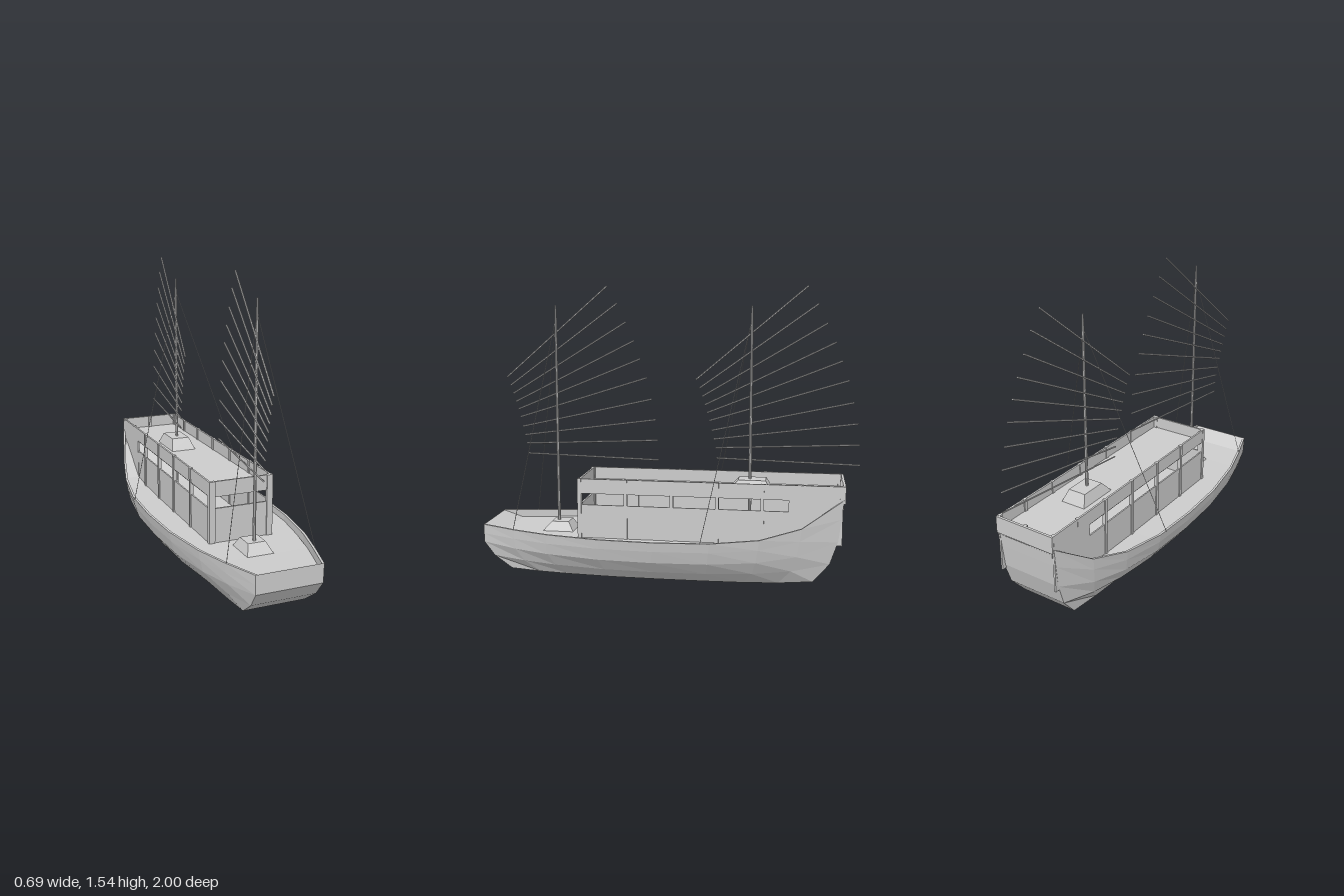
import * as THREE from 'three';

const mat = new THREE.MeshStandardMaterial({ color: 0xcccccc, flatShading: true });
const thin = new THREE.MeshStandardMaterial({ color: 0xcccccc, flatShading: true, side: THREE.DoubleSide });
const lerp = THREE.MathUtils.lerp;

// Stations from bow to stern: position, fullness, bow rise, stern rise
const STATIONS = [
  [0, 0, 1, 0], [0.1, 0.36, 0.5, 0], [0.2, 0.67, 0.25, 0], [0.35, 0.93, 0.05, 0], [0.5, 1, 0, 0],
  [0.65, 0.95, 0, 0.02], [0.78, 0.72, 0, 0.1], [0.89, 0.4, 0, 0.35], [1, 0, 0, 1],
];
// Strakes from gunwale down: [z, y] at bow, [width, y] amidships, [z, y] at stern, end width
const STRAKES = [
  [[1, 0.262], [0.345, 0.245], [-0.92, 0.46], 0.175],
  [[1, 0.212], [0.335, 0.195], [-0.91, 0.36], 0.174],
  [[1, 0.165], [0.315, 0.13], [-0.895, 0.24], 0.172],
  [[0.945, 0.09], [0.265, 0.066], [-0.855, 0.12], 0.168],
  [[0.85, 0.02], [0.175, 0], [-0.77, 0.02], 0.162],
];

function strakePoint([bow, mid, stern, end], [t, full, b, s]) {
  return new THREE.Vector3(lerp(end, mid[0], full),
    mid[1] + (bow[1] - mid[1]) * b + (stern[1] - mid[1]) * s, lerp(bow[0], stern[0], t));
}

// Half width of the gunwale at a given z
function gunwaleWidth(z) {
  const pts = STATIONS.map((s) => strakePoint(STRAKES[0], s));
  for (let i = 0; i < pts.length - 1; i++) {
    if (z <= pts[i].z && z >= pts[i + 1].z) {
      return lerp(pts[i].x, pts[i + 1].x, (pts[i].z - z) / (pts[i].z - pts[i + 1].z));
    }
  }
  return STRAKES[0][3];
}

// Joins rows of points into a surface, optionally closing both ends across the width
function loft(rows, caps) {
  const pos = [];
  const quad = (a, b, c, d) => [a, b, c, a, c, d].forEach((p) => pos.push(p.x, p.y, p.z));
  for (let i = 0; i < rows.length - 1; i++) {
    for (let j = 0; j < rows[i].length - 1; j++) {
      quad(rows[i][j], rows[i][j + 1], rows[i + 1][j + 1], rows[i + 1][j]);
    }
  }
  if (caps) {
    [rows[0], rows[rows.length - 1]].forEach((r, end) => {
      const n = r.length - 1;
      for (let j = 2; j < n / 2 - 1; j++) {
        if (end) quad(r[j], r[j + 1], r[n - j - 1], r[n - j]);
        else quad(r[n - j], r[n - j - 1], r[j + 1], r[j]);
      }
    });
  }
  const geo = new THREE.BufferGeometry();
  geo.setAttribute('position', new THREE.Float32BufferAttribute(pos, 3));
  geo.computeVertexNormals();
  return geo;
}

function add(parent, name, geo, material = mat) {
  const mesh = new THREE.Mesh(geo, material);
  mesh.name = name;
  parent.add(mesh);
  return mesh;
}

// Box given by its minimum and maximum corners
function box(parent, name, x0, x1, y0, y1, z0, z1) {
  const mesh = add(parent, name, new THREE.BoxGeometry(x1 - x0, y1 - y0, z1 - z0));
  mesh.position.set((x0 + x1) / 2, (y0 + y1) / 2, (z0 + z1) / 2);
}

// Straight round bar between two points
function bar(parent, name, a, b, r, sides = 6, rEnd = r) {
  const dir = b.clone().sub(a);
  const mesh = add(parent, name, new THREE.CylinderGeometry(rEnd, r, dir.length(), sides));
  mesh.position.copy(a).add(b).multiplyScalar(0.5);
  mesh.quaternion.setFromUnitVectors(new THREE.Vector3(0, 1, 0), dir.normalize());
}

function buildHull() {
  const hull = new THREE.Group();
  hull.name = 'hull';
  const rows = STATIONS.map((s) => {
    const half = STRAKES.map((k) => strakePoint(k, s));
    const lip = half[0].clone();
    lip.x -= 0.013;
    const inner = lip.clone();
    inner.y -= 0.05;
    half.unshift(inner, lip);
    const other = half.map((p) => new THREE.Vector3(-p.x, p.y, p.z)).reverse();
    return [...half, ...other];
  });
  add(hull, 'planking', loft(rows, true), thin);

  // Deck, sloping up at the bow and stepping up at the stern
  const deck = [[1, 0.26], [0.9, 0.215], [0.7, 0.21], [0.5, 0.21], [0.33, 0.21], [0.04, 0.21], [-0.25, 0.21],
    [-0.5, 0.215], [-0.64, 0.23], [-0.83, 0.375], [-0.92, 0.43]];
  add(hull, 'deck', loft(deck.map(([z, y]) => {
    const w = gunwaleWidth(z) - 0.012;
    return [new THREE.Vector3(w, y, z), new THREE.Vector3(-w, y, z)];
  })), thin);
  return hull;
}

function buildCabin() {
  const cabin = new THREE.Group();
  cabin.name = 'cabin';
  box(cabin, 'roof', -0.168, 0.168, 0.45, 0.464, -0.92, 0.47);
  box(cabin, 'frontRail', -0.165, 0.165, 0.46, 0.53, 0.46, 0.47);
  box(cabin, 'frontWall', -0.165, 0.165, 0.205, 0.39, 0.46, 0.47);
  box(cabin, 'sternRail', -0.172, 0.172, 0.44, 0.53, -0.928, -0.915);
  box(cabin, 'sternPost', -0.01, 0.01, 0.46, 0.531, -0.916, -0.904);
  for (const s of [-1, 1]) {
    const side = (name, x0, x1, ...rest) => box(cabin, name, Math.min(s * x0, s * x1), Math.max(s * x0, s * x1), ...rest);
    side('sideRail', 0.162, 0.172, 0.455, 0.53, -0.925, 0.47);
    side('sideWall', 0.162, 0.17, 0.205, 0.39, -0.64, 0.47);
    side('sternSideWall', 0.162, 0.172, 0.22, 0.46, -0.915, -0.64);
    side('frontPost', 0.142, 0.174, 0.205, 0.531, 0.455, 0.476);
    for (const z of [0.215, -0.03, -0.27, -0.505]) side('sidePost', 0.158, 0.176, 0.205, 0.531, z - 0.009, z + 0.009);
    for (const z of [-0.725, -0.908]) side('railPost', 0.156, 0.173, 0.46, 0.531, z - 0.009, z + 0.009);
  }
  return cabin;
}

// Tapered block that holds the foot of a mast
function mastStep(parent, y, h, outer, inner) {
  const ring = (w, z0, z1, yy) => [[w, z1], [w, z0], [-w, z0], [-w, z1], [w, z1]]
    .map(([x, z]) => new THREE.Vector3(x, yy, z));
  const peak = ring(0, (inner[1] + inner[2]) / 2, (inner[1] + inner[2]) / 2, y + h);
  add(parent, 'mastStep', loft([ring(...outer, y), ring(...inner, y + h), peak]), thin);
}

// Mast with fanned sail battens and a pair of stays
function buildRig(name, z, foot, stayX, stayY, stayZ) {
  const rig = new THREE.Group();
  rig.name = name;
  const V = (x, y, zz) => new THREE.Vector3(x, y, zz);
  bar(rig, 'mast', V(0, foot, z), V(0, 1.36, z), 0.009, 8, 0.007);
  bar(rig, 'mastTip', V(0, 1.36, z), V(0, 1.44, z), 0.007, 8, 0.004);
  // Batten ends as [front z, front y, rear z, rear y] measured from the mast
  const battens = [
    [0.185, 0.622, -0.57, 0.622], [0.19, 0.678, -0.565, 0.728], [0.2, 0.725, -0.555, 0.838], [0.212, 0.772, -0.532, 0.947],
    [0.225, 0.825, -0.505, 1.06], [0.237, 0.868, -0.47, 1.16], [0.25, 0.91, -0.435, 1.255], [0.265, 0.955, -0.39, 1.352],
    [0.28, 1.0, -0.342, 1.45], [0.3, 1.045, -0.287, 1.54],
  ];
  const swing = (dz) => -0.02 - dz * 0.136;
  for (const [fz, fy, rz, ry] of battens) {
    bar(rig, 'batten', V(swing(fz), fy, z + fz), V(swing(rz), ry, z + rz), 0.0045);
  }
  for (const s of [-1, 1]) bar(rig, 'stay', V(0, 1.37, z), V(s * stayX, stayY, stayZ), 0.0017, 4);
  return rig;
}

export function createModel() {
  const boat = new THREE.Group();
  boat.name = 'sailingBoat';
  const fore = buildRig('foreRig', 0.625, 0.21, 0.232, 0.255, 0.815);
  mastStep(fore, 0.21, 0.05, [0.07, 0.53, 0.70], [0.047, 0.56, 0.655]);
  const main = buildRig('mainRig', -0.43, 0.21, 0.34, 0.248, -0.2);
  mastStep(main, 0.464, 0.06, [0.07, -0.55, -0.315], [0.05, -0.515, -0.37]);
  boat.add(buildHull(), buildCabin(), fore, main);
  return boat;
}
